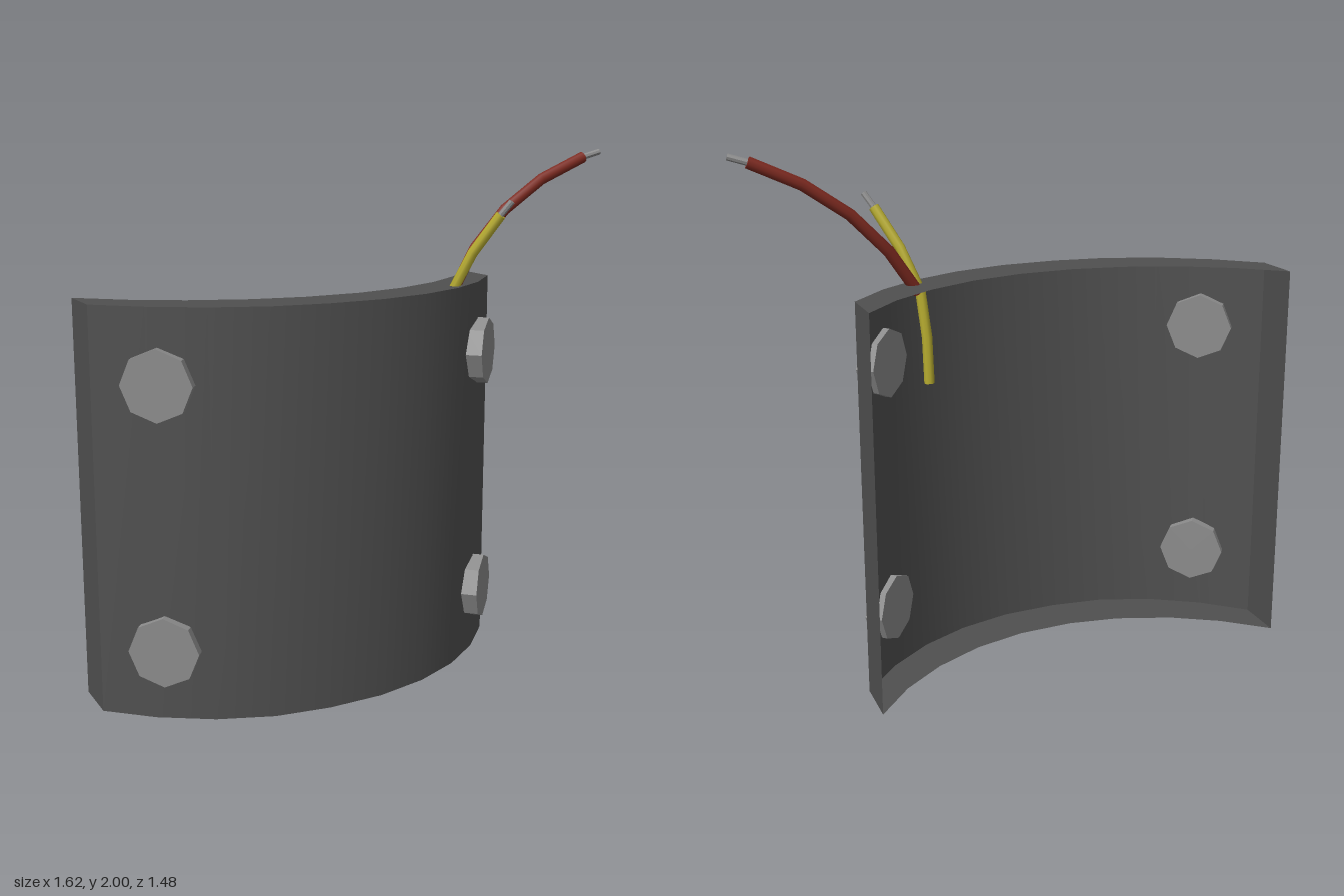
import * as THREE from 'three';

const HEIGHT = 1.5;
// Plan outlines of the curved plate as [x, z], running from the -x end to the +x end
const OUTER = [[-0.67, 0.71], [-0.46, 0.69], [-0.25, 0.63], [-0.06, 0.53], [0.1, 0.39],
  [0.24, 0.22], [0.34, 0.03], [0.4, -0.17], [0.42, -0.38], [0.4, -0.6]];
const INNER = [[-0.81, 0.58], [-0.6, 0.555], [-0.4, 0.495], [-0.2, 0.39], [-0.04, 0.26],
  [0.1, 0.09], [0.2, -0.1], [0.26, -0.31], [0.28, -0.52], [0.26, -0.73]];

const material = (color, flatShading = false) =>
  new THREE.MeshStandardMaterial({ color, flatShading, side: THREE.DoubleSide });

function addMesh(parent, name, geometry, mat) {
  const mesh = new THREE.Mesh(geometry, mat);
  mesh.name = name;
  parent.add(mesh);
  return mesh;
}

// Strip of quads between two rows of plan points at given heights
function ribbon(lower, yLower, upper, yUpper) {
  const n = lower.length;
  const positions = [];
  const index = [];
  lower.forEach(([x, z]) => positions.push(x, yLower, z));
  upper.forEach(([x, z]) => positions.push(x, yUpper, z));
  for (let i = 0; i < n - 1; i++) {
    index.push(i, i + 1, n + i + 1, i, n + i + 1, n + i);
  }
  const geometry = new THREE.BufferGeometry();
  geometry.setAttribute('position', new THREE.Float32BufferAttribute(positions, 3));
  geometry.setIndex(index);
  geometry.computeVertexNormals();
  return geometry;
}

// Insulated cable with a bare metal tip
function wire(name, points, tipEnd, radius, color, tipMaterial) {
  const group = new THREE.Group();
  group.name = name;
  const path = new THREE.CatmullRomCurve3(points.map((p) => new THREE.Vector3(...p)));
  const sheath = material(color);
  addMesh(group, 'sheath', new THREE.TubeGeometry(path, points.length - 1, radius, 8), sheath);
  // Flat ends of the sheath
  for (const t of [0, 1]) {
    const cap = addMesh(group, 'sheathEnd', new THREE.CircleGeometry(radius, 8), sheath);
    cap.position.copy(path.getPointAt(t));
    const direction = path.getTangentAt(t).multiplyScalar(t ? 1 : -1);
    cap.quaternion.setFromUnitVectors(new THREE.Vector3(0, 0, 1), direction);
  }
  // Bare conductor
  const start = path.getPointAt(1);
  const end = new THREE.Vector3(...tipEnd);
  const along = end.clone().sub(start);
  const tip = addMesh(group, 'bareTip',
    new THREE.CylinderGeometry(0.012, 0.012, along.length(), 8), tipMaterial);
  tip.position.copy(start).add(end).multiplyScalar(0.5);
  tip.quaternion.setFromUnitVectors(new THREE.Vector3(0, 1, 0), along.normalize());
  return group;
}

export function createModel() {
  const model = new THREE.Group();
  model.name = 'curvedPlateWithWires';

  // Curved plate: convex wall, rims and end faces, open on the concave side
  const plate = new THREE.Group();
  plate.name = 'curvedPlate';
  model.add(plate);
  const dark = material(0x505050);
  const last = OUTER.length - 1;
  const leftEnd = [INNER[0], OUTER[0]];
  const rightEnd = [OUTER[last], INNER[last]];
  addMesh(plate, 'outerWall', ribbon(OUTER, 0, OUTER, HEIGHT), dark);
  addMesh(plate, 'topRim', ribbon(OUTER, HEIGHT, INNER, HEIGHT), dark);
  addMesh(plate, 'bottomRim', ribbon(INNER, 0, OUTER, 0), dark);
  addMesh(plate, 'endFace', ribbon(leftEnd, 0, leftEnd, HEIGHT), dark);
  addMesh(plate, 'endFace', ribbon(rightEnd, 0, rightEnd, HEIGHT), dark);

  // Octagonal bolts set through the wall, two on each side
  const metal = material(0x8c8c8c, true);
  const thickness = 0.07;
  const boltGeometry = new THREE.CylinderGeometry(0.13, 0.13, thickness, 8);
  boltGeometry.rotateX(Math.PI / 2);
  const sides = [
    { x: -0.415, z: 0.708, angle: 0.21 },
    { x: 0.463, z: -0.395, angle: Math.PI / 2 + 0.06 },
  ];
  for (const { x, z, angle } of sides) {
    for (const y of [0.26, 1.23]) {
      const bolt = addMesh(model, 'bolt', boltGeometry, metal);
      bolt.position.set(x - Math.sin(angle) * thickness / 2, y, z - Math.cos(angle) * thickness / 2);
      bolt.rotation.y = angle;
    }
  }

  // Wires leaving the top rim
  model.add(wire('redWire', [[0.355, 1.47, -0.245], [0.425, 1.66, -0.365], [0.52, 1.8, -0.48],
    [0.63, 1.9, -0.59], [0.75, 1.97, -0.695]], [0.805, 1.99, -0.735], 0.022, 0x7d2a20, metal));
  model.add(wire('yellowWire', [[0.33, 1.12, -0.22], [0.335, 1.3, -0.222], [0.365, 1.5, -0.227],
    [0.445, 1.64, -0.232], [0.54, 1.77, -0.236]], [0.58, 1.82, -0.24], 0.02, 0xb8ad30, metal));

  return model;
}
